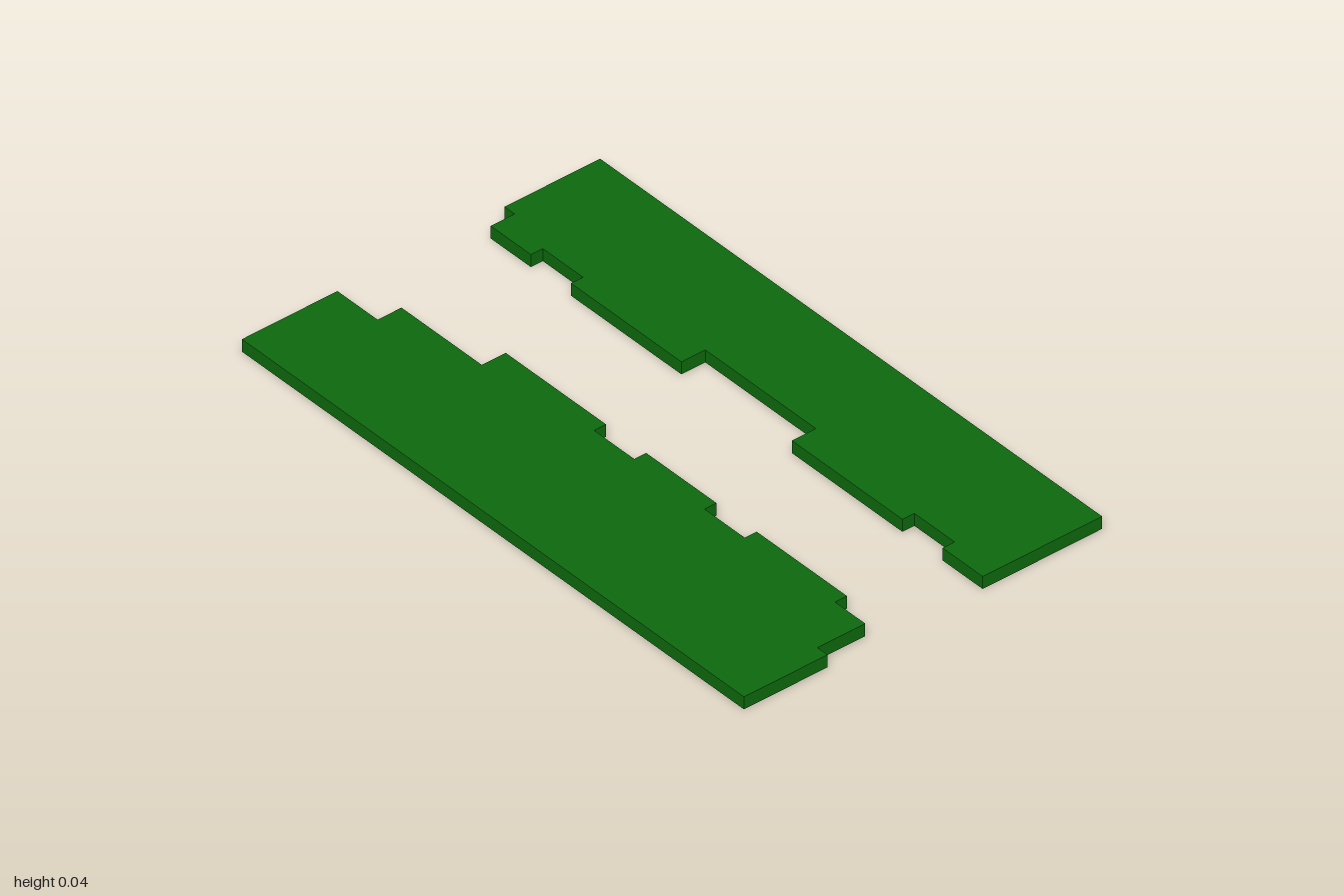
import * as THREE from 'three';

const THICKNESS = 0.04;

// Flat slab: straight outer edge at outerX, stepped inner edge given as [inner x, z where the step ends]
function steppedSlab(name, outerX, steps, material) {
  const shape = new THREE.Shape();
  shape.moveTo(outerX, -1);
  let z = -1;
  for (const [x, endZ] of steps) {
    shape.lineTo(x, z);
    shape.lineTo(x, endZ);
    z = endZ;
  }
  shape.lineTo(outerX, 1);
  shape.closePath();

  const geometry = new THREE.ExtrudeGeometry(shape, { depth: THICKNESS, bevelEnabled: false });
  geometry.rotateX(Math.PI / 2); // shape y becomes z, depth points down
  geometry.translate(0, THICKNESS, 0);
  const mesh = new THREE.Mesh(geometry, material);
  mesh.name = name;
  return mesh;
}

export function createModel() {
  const grass = new THREE.MeshStandardMaterial({ color: 0x0e680e });
  grass.name = 'grass green';

  const group = new THREE.Group();
  group.name = 'grassBanks';

  // Bank on the -x side
  group.add(steppedSlab('rightBank', -0.6, [
    [-0.28, -0.84], [-0.2, -0.52], [-0.12, -0.12], [-0.16, 0.04], [-0.12, 0.32],
    [-0.16, 0.48], [-0.12, 0.84], [-0.16, 0.96], [-0.32, 1],
  ], grass));

  // Bank on the +x side
  group.add(steppedSlab('leftBank', 0.6, [
    [0.28, -0.96], [0.2, -0.8], [0.24, -0.64], [0.2, -0.2],
    [0.28, 0.24], [0.2, 0.68], [0.24, 0.84], [0.2, 1],
  ], grass));

  return group;
}
